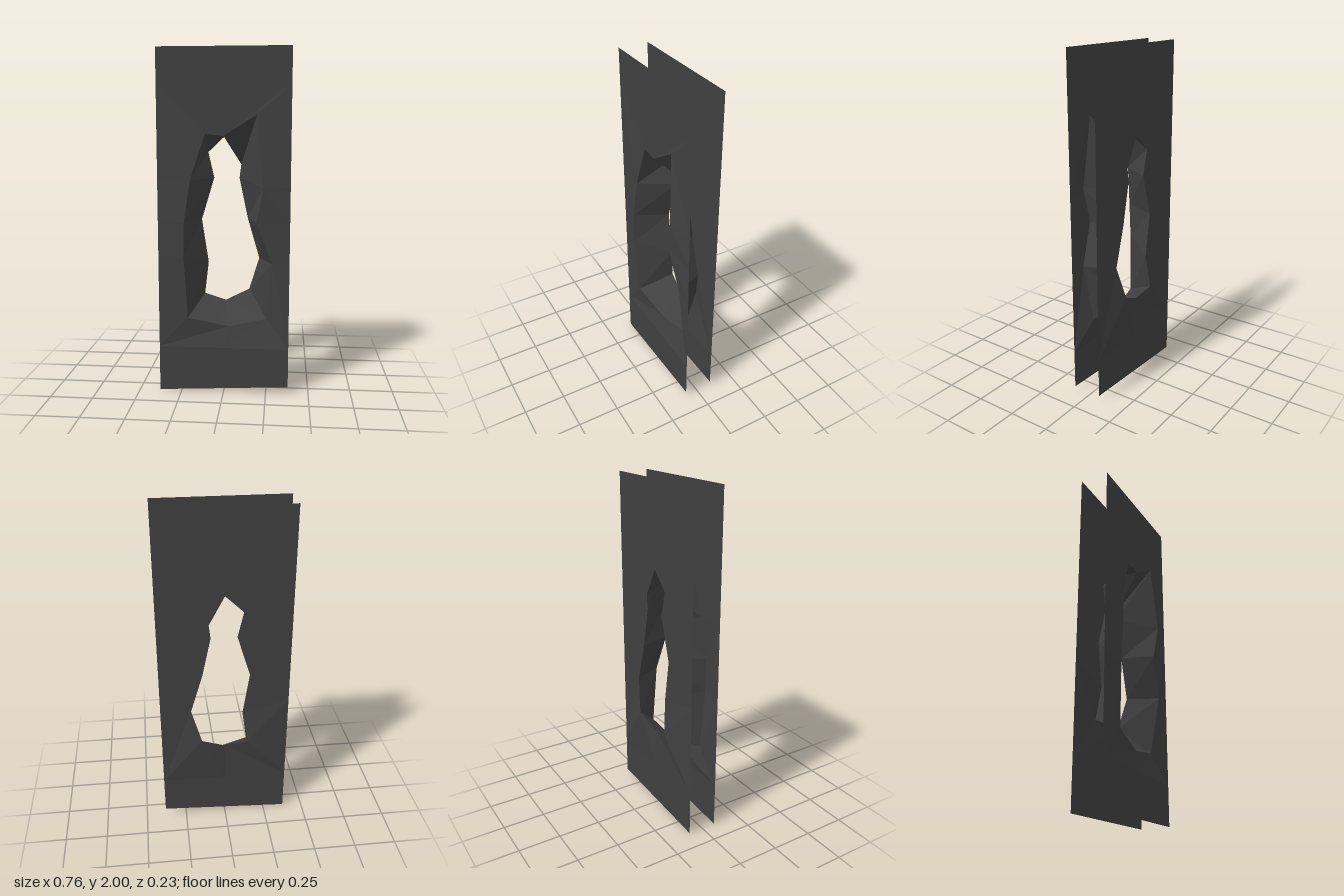
import * as THREE from 'three';

const material = new THREE.MeshStandardMaterial({
  color: 0x404040, flatShading: true, side: THREE.DoubleSide,
});

// Opening in the front sheet, clockwise from the upper left
const frontRing = [
  [-0.105, 1.52, 0.085], [0, 1.51, 0.085], [0.19, 1.63, 0.088], [0.225, 1.22, 0.115],
  [0.19, 1.02, 0.1], [0.28, 0.78, 0.085], [0.25, 0.44, 0.04], [0.03, 0.395, 0.058],
  [-0.21, 0.45, 0.088], [-0.23, 0.82, 0.105], [-0.225, 1.02, 0.11], [-0.19, 1.26, 0.098],
];
// Smaller opening in the back sheet, matched point for point
const backRing = [
  [-0.105, 1.41, -0.09], [0, 1.51, -0.09], [0.09, 1.34, -0.09], [0.08, 1.26, -0.09],
  [0.13, 1.02, -0.09], [0.2, 0.78, -0.09], [0.14, 0.58, -0.117], [0, 0.515, -0.09],
  [-0.13, 0.55, -0.11], [-0.105, 0.75, -0.09], [-0.145, 1.01, -0.09], [-0.07, 1.26, -0.09],
];
// Flat frame that the warped area around each opening runs out to
const W = 0.38;
const frame = [
  [-W, 1.8], [0, 1.8], [W, 1.8], [W, 1.22], [W, 1.02], [W, 0.78],
  [W, 0.27], [0, 0.27], [-W, 0.27], [-W, 0.82], [-W, 1.02], [-W, 1.26],
];

// Joins two matching closed loops with quads; flip reverses the facing
function addBand(out, a, b, flip) {
  a.forEach((p, i) => {
    const j = (i + 1) % a.length;
    addQuad(out, p, a[j], b[j], b[i], flip);
  });
}

function addQuad(out, a, b, c, d, flip) {
  const order = flip ? [a, c, b, a, d, c] : [a, b, c, a, c, d];
  order.forEach((p) => out.push(...p));
}

function makeMesh(name, positions) {
  const geometry = new THREE.BufferGeometry();
  geometry.setAttribute('position', new THREE.Float32BufferAttribute(positions, 3));
  geometry.computeVertexNormals();
  const mesh = new THREE.Mesh(geometry, material);
  mesh.name = name;
  return mesh;
}

// Tall sheet with a ragged opening and a slightly slanted bottom edge
function makeSheet(name, ring, z, facesBack) {
  const out = [];
  addBand(out, ring, frame.map(([x, y]) => [x, y, z]), !facesBack);
  addQuad(out, [-W, 1.8, z], [W, 1.8, z], [W, 2, z], [-W, 2, z], facesBack);
  addQuad(out, [-W, 0, z], [W, 0.04, z], [W, 0.27, z], [-W, 0.27, z], facesBack);
  return makeMesh(name, out);
}

export function createModel() {
  const group = new THREE.Group();
  group.name = 'wallWithBreach';
  group.add(makeSheet('frontSheet', frontRing, 0.085, false));
  group.add(makeSheet('backSheet', backRing, -0.09, true));

  // Tapering inner surface of the breach
  const inner = [];
  addBand(inner, frontRing, backRing, true);
  group.add(makeMesh('breachLining', inner));
  return group;
}
